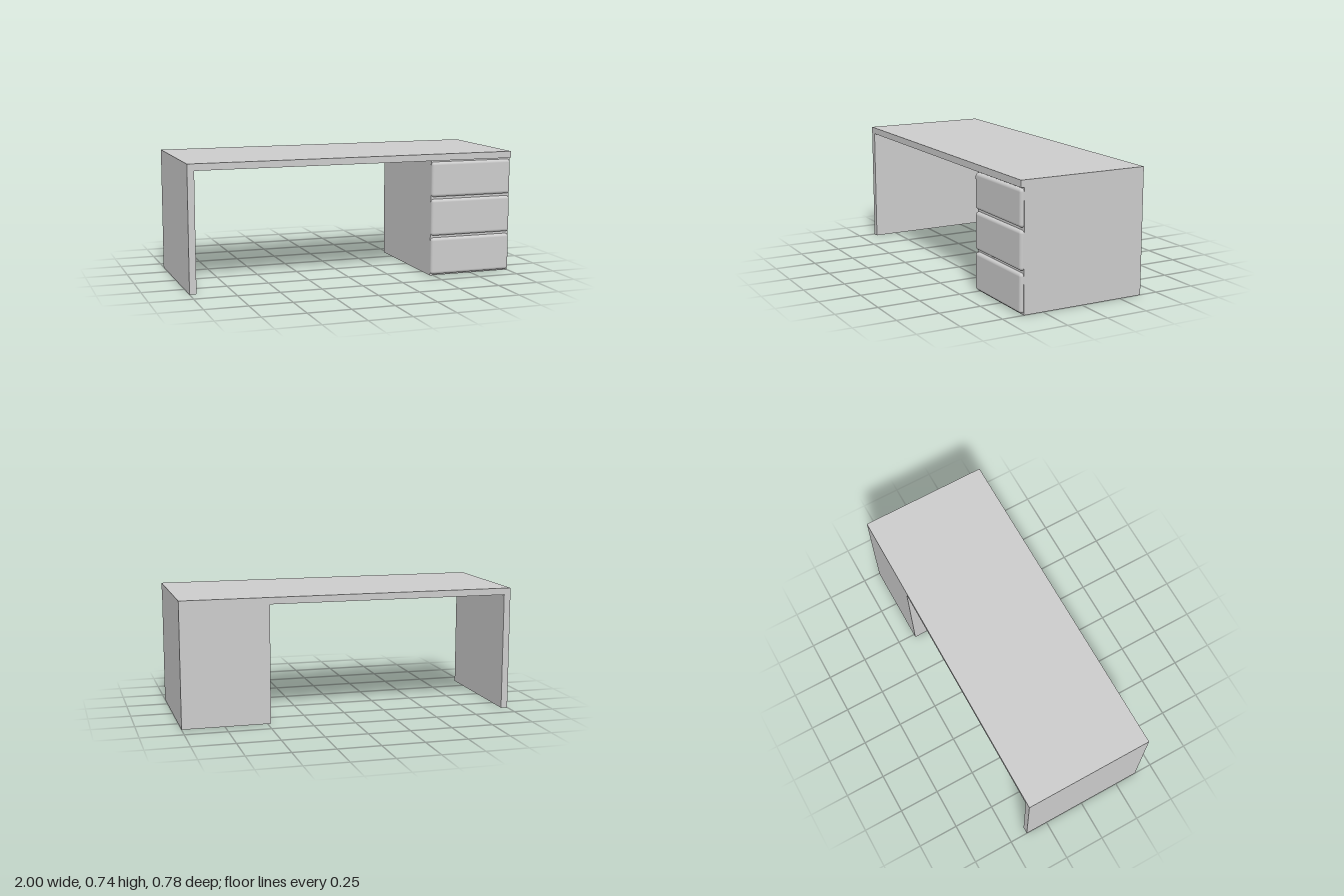
import * as THREE from 'three';
import { RoundedBoxGeometry } from 'three/addons/geometries/RoundedBoxGeometry.js';

export function createModel() {
  const desk = new THREE.Group();
  desk.name = 'desk';
  const material = new THREE.MeshStandardMaterial({ color: 0xcccccc });

  // Adds a geometry centred within the given extents
  const add = (name, makeGeometry, [x0, x1], [y0, y1], [z0, z1]) => {
    const mesh = new THREE.Mesh(makeGeometry(x1 - x0, y1 - y0, z1 - z0), material);
    mesh.name = name;
    mesh.position.set((x0 + x1) / 2, (y0 + y1) / 2, (z0 + z1) / 2);
    desk.add(mesh);
  };
  const box = (w, h, d) => new THREE.BoxGeometry(w, h, d);
  const rounded = (w, h, d) => new RoundedBoxGeometry(w, h, d, 5, 0.018);

  // Worktop, side panel and drawer cabinet
  add('worktop', box, [-1, 1], [0.7, 0.74], [-0.39, 0.39]);
  add('sidePanel', box, [-1, -0.96], [0, 0.7], [-0.39, 0.39]);
  add('drawerCabinet', box, [0.48, 1], [0, 0.7], [-0.39, 0.37]);

  // Cushion-edged drawer fronts, their back halves set into the cabinet
  const drawers = [[0.008, 0.231], [0.245, 0.466], [0.481, 0.691]];
  drawers.forEach((range, i) => {
    add(`drawerFront${i + 1}`, rounded, [0.48, 0.998], range, [0.35, 0.391]);
  });

  return desk;
}
